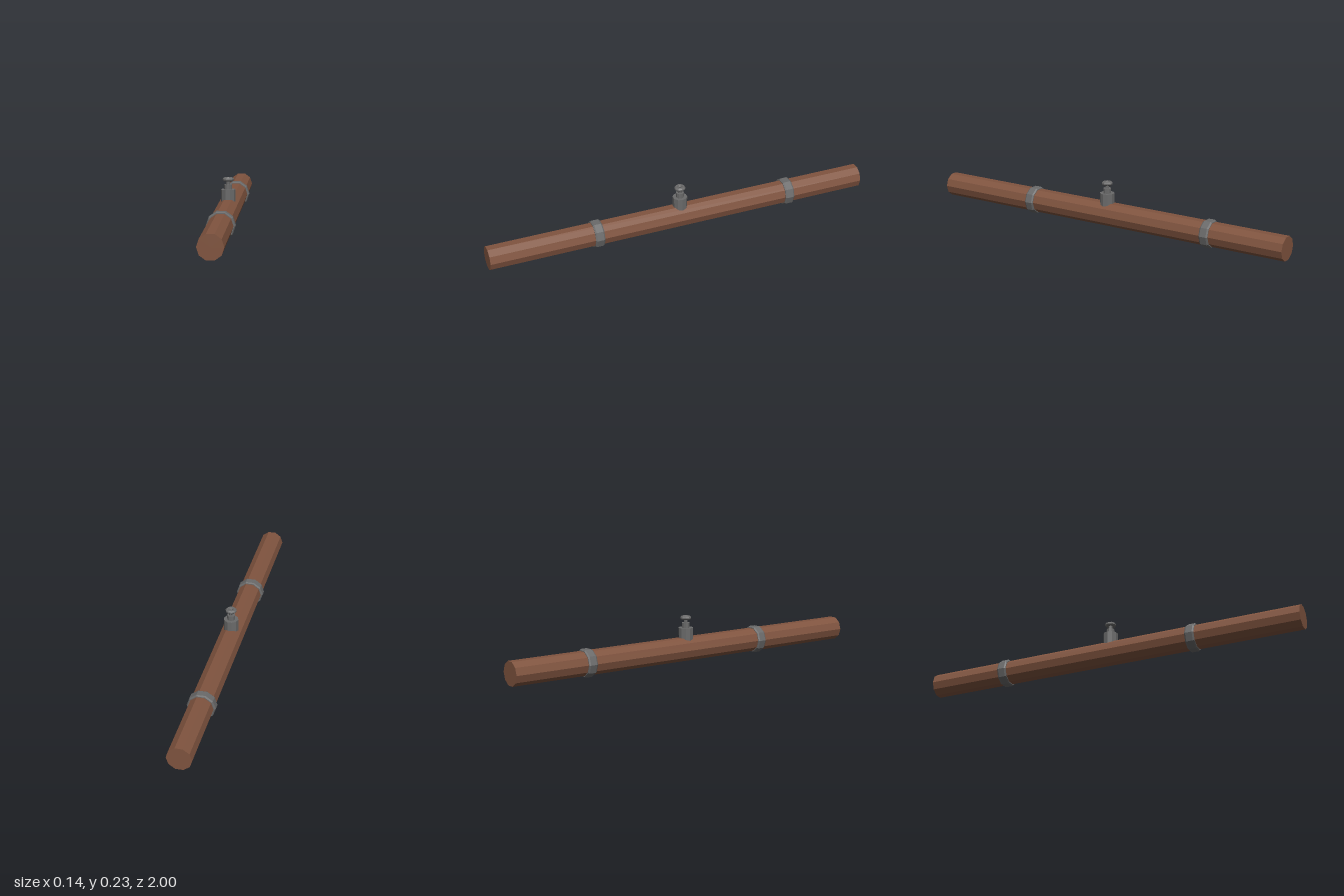
import * as THREE from 'three';

const SIDES = 10;
const AXIS_Y = 0.067;

export function createModel() {
  const group = new THREE.Group();
  const rust = new THREE.MeshStandardMaterial({ color: 0x80543f, flatShading: true });
  rust.name = 'rust brown';
  const iron = new THREE.MeshStandardMaterial({ color: 0x6a6a6a, flatShading: true });
  iron.name = 'iron grey';

  const add = (name, geometry, material, y, z = 0) => {
    const mesh = new THREE.Mesh(geometry, material);
    mesh.name = name;
    mesh.position.set(0, y, z);
    group.add(mesh);
    return mesh;
  };
  // ten-sided solids with a corner on the x axis
  const prism = (r, h) => new THREE.CylinderGeometry(r, r, h, SIDES, 1, false, Math.PI / 2);
  const ring = (profile) => new THREE.LatheGeometry(
    profile.map(([x, y]) => new THREE.Vector2(x, y)), SIDES, Math.PI / 2);

  // long pipe lying along z
  add('pipe', prism(0.061, 2), rust, AXIS_Y).rotation.x = Math.PI / 2;

  // bevelled collars around the pipe
  const collar = ring([[0.058, -0.024], [0.065, -0.024], [0.07, -0.017],
    [0.07, 0.017], [0.065, 0.024], [0.058, 0.024]]);
  for (const [name, z] of [['frontCollar', 0.445], ['backCollar', -0.588]]) {
    add(name, collar, iron, AXIS_Y, z).rotation.x = Math.PI / 2;
  }

  // stacked valve parts: name, radius, bottom, top
  for (const [name, r, y0, y1] of [
    ['valveBody', 0.037, 0.085, 0.175],
    ['valveNeck', 0.02, 0.17, 0.2],
    ['valveStem', 0.01, 0.195, 0.223],
  ]) add(name, prism(r, y1 - y0), iron, (y0 + y1) / 2);

  // hand wheel
  add('handWheel', ring([[0.009, 0], [0.0135, -0.009], [0.0225, -0.009], [0.028, -0.003],
    [0.028, 0.003], [0.0225, 0.009], [0.0135, 0.009], [0.009, 0]]), iron, 0.225);

  return group;
}
